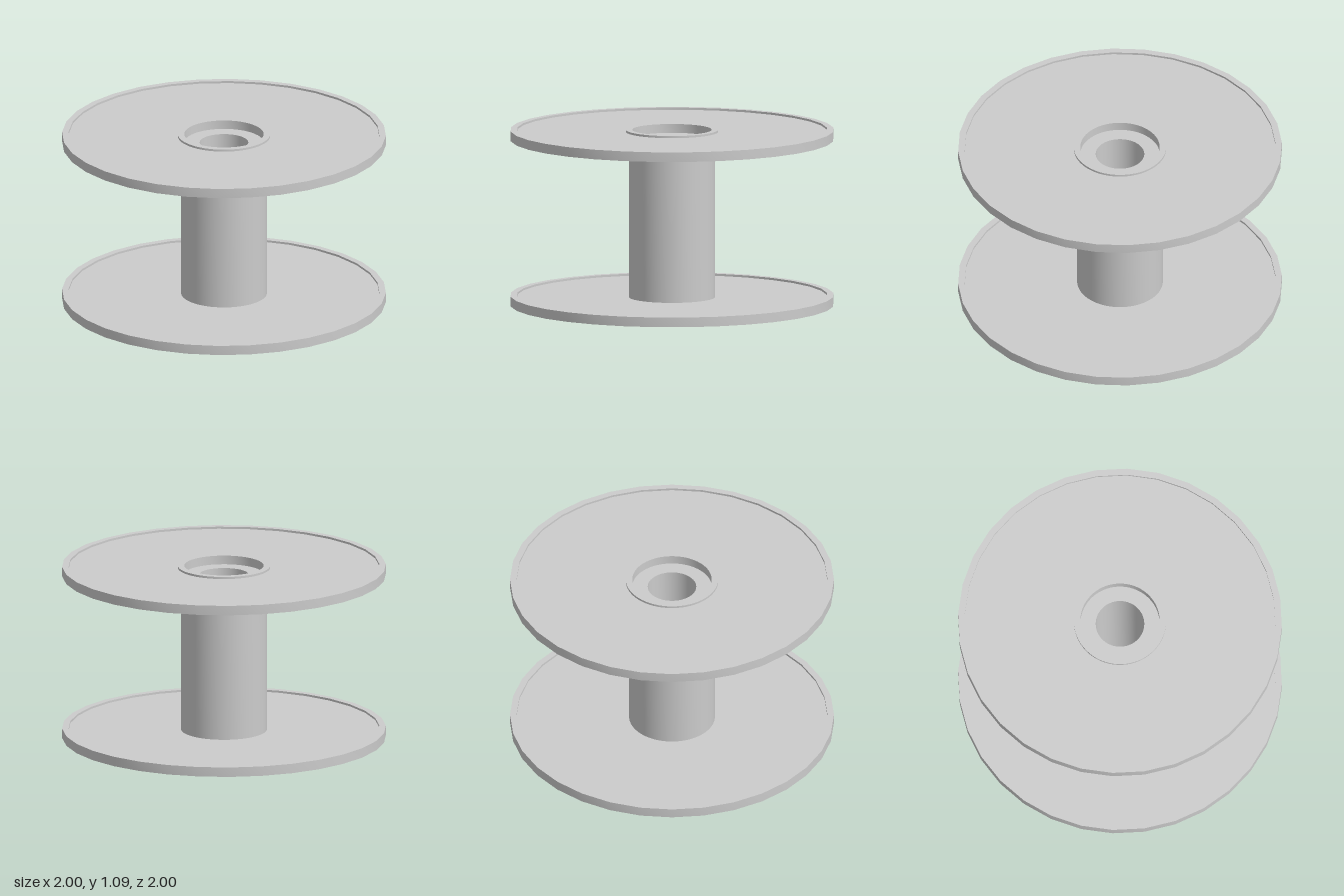
import * as THREE from 'three';
import { toCreasedNormals } from 'three/addons/utils/BufferGeometryUtils.js';

const material = new THREE.MeshStandardMaterial({ color: 0xcccccc });

// Closed ring turned from a counter-clockwise [radius, height] profile
function turned(name, profile, sides) {
  const points = [...profile, profile[0]].map(([r, y]) => new THREE.Vector2(r, y));
  const geometry = toCreasedNormals(new THREE.LatheGeometry(points, sides), Math.PI / 6);
  const mesh = new THREE.Mesh(geometry, material);
  mesh.name = name;
  return mesh;
}

export function createModel() {
  const group = new THREE.Group();
  group.name = 'spool';

  const height = 1.09;
  const thickness = 0.06;   // flange rim
  const recess = 0.013;     // web sits below the rim on both faces
  const rimInner = 0.96;
  const core = 0.265;
  const collar = 0.285;
  const counterbore = 0.245;
  const bore = 0.15;
  const boreDepth = 0.055;
  const mid = thickness / 2;

  // Flanges: raised rim around a thinner web
  const flangeProfile = [
    [1, 0], [1, thickness],
    [rimInner, thickness], [rimInner, thickness - recess],
    [0.26, thickness - recess], [0.26, recess],
    [rimInner, recess], [rimInner, 0],
  ];
  for (const [name, y] of [['bottomFlange', 0], ['topFlange', height - thickness]]) {
    const flange = turned(name, flangeProfile, 32);
    flange.position.y = y;
    group.add(flange);
  }

  // Core tube with a raised collar and counterbore at each end
  group.add(turned('core', [
    [collar, 0], [collar, mid], [core, mid],
    [core, height - mid], [collar, height - mid], [collar, height],
    [counterbore, height], [counterbore, height - boreDepth],
    [bore, height - boreDepth], [bore, boreDepth],
    [counterbore, boreDepth], [counterbore, 0],
  ], 64));

  return group;
}
